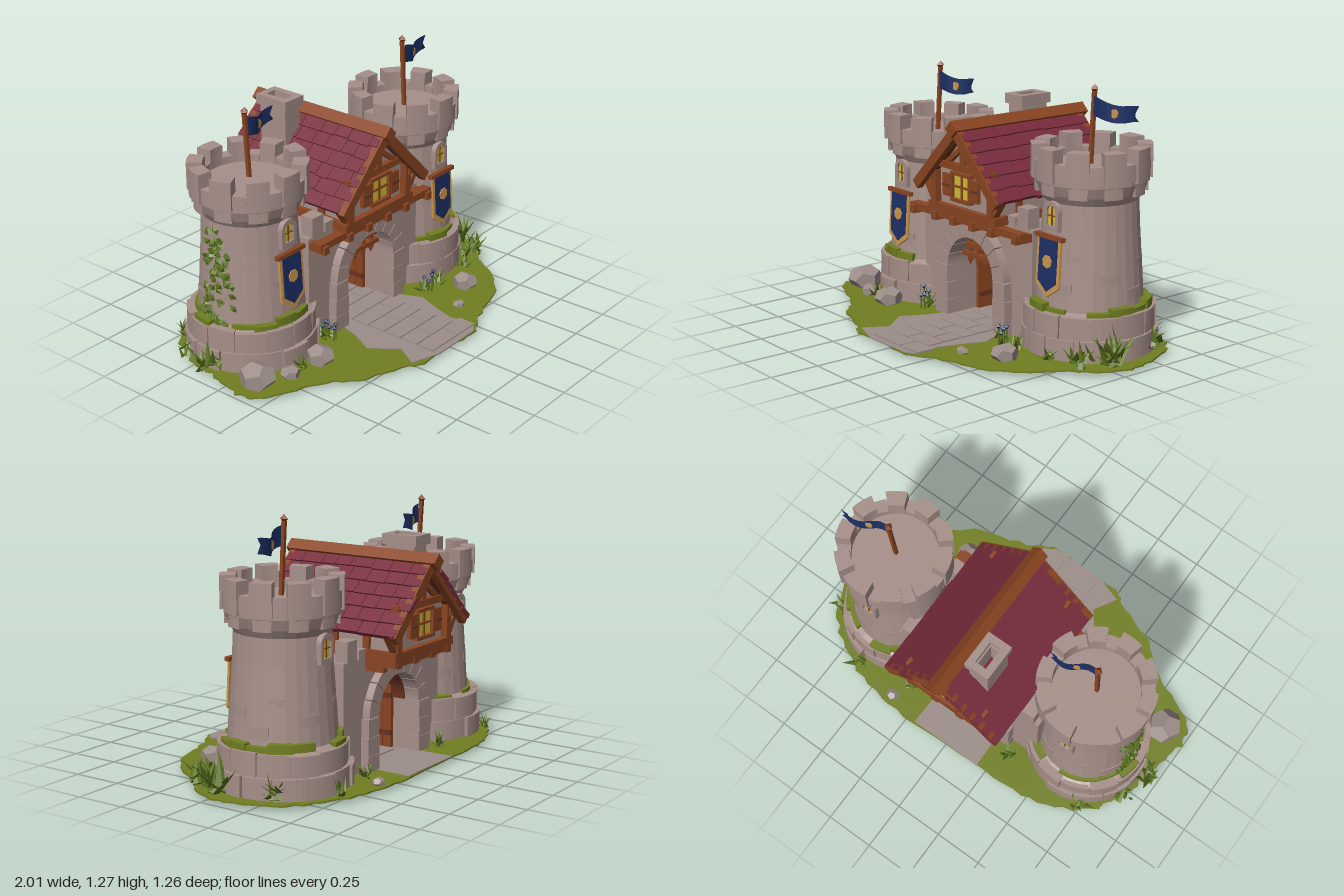
import * as THREE from 'three';
import { mergeGeometries } from 'three/addons/utils/BufferGeometryUtils.js';

const mat = (name, color, side = THREE.FrontSide) => Object.assign(new THREE.MeshStandardMaterial({ color, flatShading: true, side }), { name });
const M = {
  stone: mat('stone', 0xa68f89), rock: mat('pale rock', 0x9c8d88), wood: mat('wood', 0x8a4522), darkWood: mat('dark wood', 0x6a3220),
  roof: mat('roof tile', 0x772b3b), grass: mat('grass', 0x717f20), leaf: mat('leaf', 0x5d7420, THREE.DoubleSide),
  navy: mat('navy cloth', 0x1d2f63, THREE.DoubleSide), gold: mat('gold', 0xc8954f), glow: mat('window yellow', 0xd0be30),
};
const Y = new THREE.Vector3(0, 1, 0);
const V = (x, y, z) => new THREE.Vector3(x, y, z);
let seed = 7;
const rnd = (a = 0, b = 1) => { seed = (seed * 16807) % 2147483647; return a + (b - a) * seed / 2147483647; };

function add(parent, name, geo, m, x = 0, y = 0, z = 0) {
  const mesh = new THREE.Mesh(geo, m);
  mesh.name = name;
  mesh.position.set(x, y, z);
  parent.add(mesh);
  return mesh;
}
const group = (parent, name, x = 0, y = 0, z = 0) => {
  const g = new THREE.Group();
  g.name = name; g.position.set(x, y, z); parent.add(g);
  return g;
};
const box = (p, name, m, w, h, d, x, y, z) => add(p, name, new THREE.BoxGeometry(w, h, d), m, x, y, z);
function beam(p, name, m, a, b, w, d) {
  const dir = b.clone().sub(a);
  const mesh = box(p, name, m, w, dir.length(), d, 0, 0, 0);
  mesh.position.copy(a).add(b).multiplyScalar(0.5);
  mesh.quaternion.setFromUnitVectors(Y, dir.normalize());
  return mesh;
}
const extrude = (shape, depth, curveSegments = 8) => new THREE.ExtrudeGeometry(shape, { depth, bevelEnabled: false, curveSegments });
const poly = (pts) => new THREE.Shape(pts.map((p) => new THREE.Vector2(p[0], p[1])));
function arcShape(r0, r1, a0, a1) {
  const s = new THREE.Shape();
  s.absarc(0, 0, r1, a0, a1, false);
  s.absarc(0, 0, r0, a1, a0, true);
  return s;
}
// Curved block standing on a ring around the y axis
const arcBlock = (r0, r1, y0, y1, a0, a1) => extrude(arcShape(r0, r1, a0, a1), y1 - y0, 3).rotateX(-Math.PI / 2).translate(0, y0, 0);
function archShape(hw, y0, spring) {
  const s = new THREE.Shape();
  s.moveTo(-hw, y0); s.lineTo(hw, y0); s.lineTo(hw, spring);
  s.absarc(0, spring, hw, 0, Math.PI, false);
  s.lineTo(-hw, y0);
  return s;
}

function towerWindow(p, back) {
  const g = group(p, 'towerWindow');
  g.rotation.y = back ? Math.PI : 0;
  const frame = archShape(0.05, 0.6, 0.69);
  frame.holes.push(archShape(0.029, 0.625, 0.69));
  add(g, 'windowFrame', extrude(frame, 0.05), M.stone, 0, 0, 0.2);
  add(g, 'windowGlow', extrude(archShape(0.03, 0.62, 0.69), 0.006), M.glow, 0, 0, 0.233);
  box(g, 'mullion', M.wood, 0.006, 0.1, 0.008, 0, 0.67, 0.24);
  box(g, 'crossbar', M.wood, 0.06, 0.006, 0.008, 0, 0.67, 0.24);
}

function flag(p, y, len) {
  const geo = new THREE.PlaneGeometry(len, 0.095, 10, 2).translate(len / 2, 0, 0);
  const pos = geo.attributes.position;
  for (let i = 0; i < pos.count; i++) {
    const t = pos.getX(i) / len;
    if (t > 0.99 && Math.abs(pos.getY(i)) < 0.01) pos.setX(i, len * 0.86);
    pos.setY(i, pos.getY(i) * (1 - 0.25 * t) + 0.012 * Math.cos(t * 6) - 0.01 * t);
    pos.setZ(i, 0.014 * Math.sin(t * 7));
  }
  const g = group(p, 'flag', 0.008, y, 0);
  g.rotation.y = 0.25;
  add(g, 'flagCloth', geo, M.navy);
  add(g, 'flagEmblem', new THREE.CylinderGeometry(0.022, 0.022, 0.009, 7).rotateX(Math.PI / 2), M.gold, len * 0.45, -0.014, 0);
}

function tower(root, x, grow, poleTop, flagY, flagLen) {
  const t = group(root, 'tower', x, 0, -0.158);
  const top = 0.9 + grow;
  const profile = [[0.3, 0], [0.3, 0.21], [0.258, 0.23], [0.246, 0.4], [0.232, 0.6], [0.226, 0.73], [0.25, 0.77], [0.268, 0.82],
    [0.27, top], [0.215, top], [0.215, top - 0.03], [0, top - 0.03]].map((p) => new THREE.Vector2(...p));
  add(t, 'towerBody', new THREE.LatheGeometry(profile, 28), M.stone);
  // Two courses of heavy base stones
  for (let row = 0; row < 2; row++) for (let i = 0; i < 13; i++) {
    const a = (i + row * 0.5) / 13 * Math.PI * 2, r = rnd(0.312, 0.33) - row * 0.012;
    add(t, 'baseStone', arcBlock(0.25, r, row * 0.115, row ? rnd(0.212, 0.228) : 0.112, a + 0.01, a + 0.47), M.stone);
  }
  // Raised stones on the shaft
  for (let i = 0; i < 26; i++) {
    const a = i * 2.4, y = 0.27 + 0.42 * (i / 26), r = 0.262 - 0.048 * (y + 0.03 - 0.23) / 0.5;
    add(t, 'wallStone', arcBlock(0.2, r, y, y + 0.06, a, a + rnd(0.25, 0.45)), M.stone);
  }
  // Battlements and the corbels below them
  for (let i = 0; i < 10; i++) {
    const a = (i + 0.15) / 10 * Math.PI * 2;
    add(t, 'merlon', arcBlock(0.21, 0.285, 0.83, 0.965 + grow + rnd(0, 0.012), a, a + 0.38), M.stone);
    add(t, 'corbel', arcBlock(0.21, 0.266, 0.765, 0.835, a + 0.02, a + 0.36), M.stone);
    add(t, 'copingStone', arcBlock(0.21, 0.275, 0.84, top + 0.006, a + 0.39, a + 0.62), M.stone);
  }
  // Moss on the ledge
  for (let i = 0; i < 16; i++) {
    const a = i / 16 * Math.PI * 2;
    if (i % 5 !== 3) add(t, 'moss', arcBlock(0.2, rnd(0.27, 0.3), 0.22, rnd(0.238, 0.268), a, a + 0.4), M.grass);
  }
  towerWindow(t, false);
  towerWindow(t, true);
  // Pole and flag
  beam(t, 'flagPole', M.wood, V(0, 0.85, 0.008), V(0, poleTop - 0.03, -0.012), 0.018, 0.018);
  add(t, 'poleTip', new THREE.OctahedronGeometry(0.022), M.wood, 0, poleTop - 0.02, -0.012);
  flag(t, flagY, flagLen);
  // Hanging banner
  const b = group(t, 'banner', 0, 0.43, 0.253);
  b.rotation.x = -0.06;
  const cloth = (k, tip) => poly([[-0.08 * k, 0.14], [-0.08 * k, -0.09 * k], [0, tip], [0.08 * k, -0.09 * k], [0.08 * k, 0.14]]);
  add(b, 'bannerBorder', extrude(cloth(1, -0.145), 0.012), M.gold);
  add(b, 'bannerCloth', extrude(cloth(0.78, -0.118), 0.005), M.navy, 0, 0, 0.011);
  add(b, 'bannerEmblem', new THREE.CylinderGeometry(0.032, 0.032, 0.006, 7).rotateX(Math.PI / 2), M.gold, 0, 0.025, 0.018);
  box(b, 'bannerRod', M.wood, 0.19, 0.02, 0.024, 0, 0.142, 0.008);
  return t;
}

// Timbered gable face, facing +z at local z = 0
function gableFace(p, z, back) {
  const g = group(p, 'gableFace', 0, 0, z);
  g.rotation.y = back ? Math.PI : 0;
  box(g, 'sillBeam', M.wood, 0.52, 0.04, 0.05, 0, 0.58, 0);
  box(g, 'tieBeam', M.wood, 0.46, 0.034, 0.04, 0, 0.8, 0);
  box(g, 'kingPost', M.wood, 0.035, 0.16, 0.035, 0, 0.88, 0);
  for (const s of [-1, 1]) {
    box(g, 'post', M.wood, 0.04, 0.18, 0.05, s * 0.22, 0.67, 0);
    beam(g, 'gableBrace', M.wood, V(s * 0.13, 0.81, 0), V(s * 0.01, 0.9, 0), 0.024, 0.03);
    beam(g, 'eaveBrace', M.wood, V(s * 0.23, 0.61, 0), V(s * 0.295, 0.7, 0), 0.03, 0.035);
    beam(g, 'bargeBoard', M.wood, V(s * 0.315, 0.675, 0.05), V(0, 0.99, 0.05), 0.05, 0.035);
    box(g, 'shutter', M.wood, 0.06, 0.11, 0.02, s * 0.108, 0.705, 0.02);
    box(g, 'shutterBatten', M.darkWood, 0.05, 0.012, 0.008, s * 0.108, 0.705, 0.032);
    box(g, 'windowJamb', M.wood, 0.014, 0.14, 0.03, s * 0.07, 0.705, 0.015);
    box(g, 'windowRail', M.wood, 0.15, 0.016, 0.034, 0, 0.705 + s * 0.066, 0.015);
  }
  box(g, 'windowGlow', M.glow, 0.13, 0.12, 0.008, 0, 0.705, 0.008);
  box(g, 'mullion', M.wood, 0.01, 0.12, 0.009, 0, 0.705, 0.016);
  box(g, 'crossbar', M.wood, 0.13, 0.01, 0.009, 0, 0.705, 0.016);
}

function gatehouse(root) {
  const g = group(root, 'gatehouse');
  // Arched wall
  const s = poly([[-0.42, 0], [-0.18, 0], [-0.18, 0.27]]);
  s.absarc(0, 0.27, 0.18, Math.PI, 0, true);
  s.lineTo(0.18, 0); s.lineTo(0.42, 0); s.lineTo(0.42, 0.56); s.lineTo(-0.42, 0.56);
  add(g, 'gateWall', extrude(s, 0.44, 14), M.stone, 0, 0, -0.38);
  for (const z of [0.02, -0.42]) {
    for (let i = 0; i < 9; i++) {
      const a = i / 9 * Math.PI;
      add(g, 'archStone', extrude(arcShape(0.176, rnd(0.25, 0.265), a + 0.01, a + 0.34), 0.085, 3), M.stone, 0, 0.27, z);
    }
    for (const k of [-1, 1]) for (let i = 0; i < 3; i++)
      box(g, 'jambStone', M.stone, rnd(0.085, 0.1), 0.088, 0.09, k * 0.225, 0.045 + i * 0.09, z + 0.042);
  }
  // Parapet merlons beside the house
  for (const k of [-1, 1]) for (const z of [0.03, -0.35]) {
    box(g, 'wallMerlon', M.stone, 0.08, 0.1, 0.07, k * 0.355, 0.61, z);
    box(g, 'wallMerlon', M.stone, 0.06, 0.05, 0.07, k * 0.27, 0.58, z);
  }
  // Timber lining, open doors and portcullis
  add(g, 'archLining', extrude(arcShape(0.168, 0.182, 0, Math.PI), 0.2, 14), M.darkWood, 0, 0.27, -0.34);
  for (const k of [-1, 1]) {
    for (let i = 0; i < 4; i++) box(g, 'doorPlank', M.wood, 0.022, 0.33, 0.046, k * 0.165, 0.18, -0.1 - i * 0.05);
    for (const y of [0.09, 0.28]) box(g, 'doorBatten', M.darkWood, 0.012, 0.025, 0.2, k * 0.15, y, -0.175);
  }
  for (let i = -2; i <= 2; i++) {
    box(g, 'portcullisBar', M.wood, 0.02, 0.14, 0.02, i * 0.062, 0.36, 0);
    add(g, 'portcullisSpike', new THREE.ConeGeometry(0.018, 0.035, 4).rotateX(Math.PI), M.wood, i * 0.062, 0.282, 0);
  }
  for (const y of [0.325, 0.375]) box(g, 'portcullisRail', M.wood, 0.34, 0.024, 0.026, 0, y, 0.006);
  // Jetty beams and brackets
  box(g, 'frontBeam', M.wood, 0.86, 0.035, 0.05, 0, 0.54, 0.12);
  box(g, 'backBeam', M.wood, 0.5, 0.035, 0.05, 0, 0.55, -0.53);
  box(g, 'jettyFloor', M.wood, 0.5, 0.02, 0.72, 0, 0.568, -0.2);
  for (const x of [-0.4, -0.22, -0.075, 0.075, 0.22, 0.4]) {
    box(g, 'frontJoist', M.wood, 0.035, 0.04, 0.12, x, 0.525, 0.1);
    if (Math.abs(x) < 0.3) {
      box(g, 'backJoist', M.wood, 0.04, 0.04, 0.2, x, 0.545, -0.46);
      box(g, 'backBracket', M.wood, 0.036, 0.035, 0.1, x, 0.515, -0.43);
    }
  }
  // Upper house
  add(g, 'houseWall', extrude(poly([[-0.22, 0.56], [0.22, 0.56], [0.22, 0.755], [0, 0.97], [-0.22, 0.755]]), 0.65), M.stone, 0, 0, -0.525);
  gableFace(g, 0.135, false);
  gableFace(g, -0.535, true);
  for (const k of [-1, 1]) {
    box(g, 'sideSill', M.wood, 0.04, 0.04, 0.69, k * 0.225, 0.58, -0.2);
    box(g, 'wallPlate', M.wood, 0.04, 0.035, 0.74, k * 0.235, 0.725, -0.2);
    for (const z of [-0.38, -0.2, -0.02]) box(g, 'sidePost', M.wood, 0.03, 0.16, 0.035, k * 0.222, 0.65, z);
    // Roof slope: boarding with staggered rows of tiles
    const r = group(g, 'roofSlope', 0, 1.0, -0.205);
    r.rotation.z = -k * Math.PI / 4;
    box(r, 'roofBoards', M.darkWood, 0.43, 0.02, 0.76, k * 0.215, -0.012, 0);
    for (let row = 0; row < 6; row++) {
      let z = -0.4 + rnd(-0.01, 0.01);
      while (z < 0.37) {
        const w = Math.min(rnd(0.075, 0.13), 0.4 - z);
        const tile = box(r, 'roofTile', M.roof, 0.088, 0.02, w - 0.003, k * (0.045 + row * 0.072 + rnd(-0.004, 0.004)), 0.008, z + w / 2);
        tile.rotation.z = k * 0.11;
        z += w;
      }
    }
  }
  const ridge = box(g, 'ridgeBeam', M.wood, 0.06, 0.06, 0.85, 0, 1.0, -0.205);
  ridge.rotation.z = Math.PI / 4;
  // Chimney with an open cap
  const chim = (w, d, t, h) => {
    const o = poly([[-w, -d], [w, -d], [w, d], [-w, d]]);
    o.holes.push(poly([[-w + t, -d + t], [-w + t, d - t], [w - t, d - t], [w - t, -d + t]]));
    return extrude(o, h).rotateX(-Math.PI / 2);
  };
  add(g, 'chimney', chim(0.052, 0.08, 0.03, 0.25), M.stone, -0.125, 0.82, -0.37);
  add(g, 'chimneyCap', chim(0.066, 0.095, 0.036, 0.05), M.stone, -0.125, 1.05, -0.37);
}

// Fan of pointed leaves
function bush(root, name, x, z, n, h, spread) {
  const leaves = [];
  for (let i = 0; i < n; i++) {
    const l = h * rnd(0.7, 1.15);
    leaves.push(new THREE.ConeGeometry(l * 0.2, l, 4).scale(1, 1, 0.3).translate(0, l / 2, 0).rotateX(rnd(0.2, 1.1))
      .rotateY(i * 2.4).translate(rnd(-spread, spread), rnd(0, spread), rnd(-spread, spread)));
  }
  add(root, name, mergeGeometries(leaves), M.leaf, x, 0.012, z);
}

export function createModel() {
  const root = new THREE.Group();
  root.name = 'castleGate';
  // Ragged island of grass
  const outline = [[-1, 0.08], [-0.98, 0.2], [-0.85, 0.28], [-0.68, 0.36], [-0.52, 0.49], [-0.3, 0.57], [-0.26, 0.61], [0, 0.62], [0.2, 0.62], [0.3, 0.56],
    [0.55, 0.48], [0.72, 0.36], [0.82, 0.2], [0.95, 0.06], [0.99, -0.08], [0.95, -0.28], [0.82, -0.45], [0.6, -0.56], [0.35, -0.61], [0, -0.6],
    [-0.38, -0.61], [-0.62, -0.56], [-0.82, -0.44], [-0.92, -0.25], [-0.95, -0.08]];
  const curve = new THREE.CatmullRomCurve3(outline.map((p) => V(p[0], -p[1], 0)), true);
  const rim = curve.getPoints(130).slice(0, -1).map((p) => { const k = rnd(0.975, 1.005); return [p.x * k, p.y * k]; });
  add(root, 'grassIsland', extrude(poly(rim), 0.008).rotateX(-Math.PI / 2), M.grass, 0, 0.003, 0);
  box(root, 'pathBedding', M.darkWood, 0.3, 0.004, 0.74, 0.02, 0.002, 0.06);
  // Worn path and paving slabs
  const path = poly([[-0.2, 0.6], [0.2, 0.6], [0.18, 0], [0.28, -0.22], [0.24, -0.32], [0.2, -0.45], [0.22, -0.58], [0.16, -0.62], [-0.12, -0.62],
    [-0.27, -0.57], [-0.2, -0.45], [-0.3, -0.32], [-0.24, -0.2], [-0.18, 0]]);
  add(root, 'path', extrude(path, 0.006).rotateX(-Math.PI / 2), M.rock, 0, 0.008, 0);
  for (let row = 0; row < 9; row++) {
    const z = 0.54 - row * 0.1, split = row % 2 ? 0.0 : 0.08, l = -0.13, r = row ? 0.17 : 0.22;
    box(root, 'pavingSlab', M.rock, split - l - 0.006, 0.012, 0.094, (l + split) / 2, 0.014, z);
    box(root, 'pavingSlab', M.rock, r - split - 0.006, 0.012, 0.094, (r + split) / 2, 0.0135, z);
  }
  const leftTower = tower(root, -0.588, 0, 1.225, 1.12, 0.23);
  tower(root, 0.585, 0.015, 1.255, 1.145, 0.25);
  gatehouse(root);
  // Climbing vine on the outer wall
  const vine = [];
  for (let i = 0; i < 60; i++) {
    const y = rnd(0.2, 0.7), a = Math.PI + rnd(-0.5, 0.5) * (1.2 - y), r = 0.275 - 0.07 * y;
    vine.push(new THREE.OctahedronGeometry(0.03).scale(0.5, 1, 0.8).rotateX(rnd(-1, 1)).rotateZ(rnd(-0.8, 0.8))
      .translate(Math.cos(a) * r, y, -Math.sin(a) * r));
  }
  add(leftTower, 'vine', mergeGeometries(vine), M.leaf);
  // Rocks
  for (const [x, z, r] of [[-0.87, 0.13, 0.095], [-0.53, 0.22, 0.075], [-0.72, 0.2, 0.05], [0.52, 0.31, 0.068], [0.33, 0.41, 0.032], [0.38, -0.55, 0.035]]) {
    const m = add(root, 'rock', new THREE.DodecahedronGeometry(r).scale(1, 0.75, 0.95), M.rock, x, r * 0.55, z);
    m.rotation.y = x * 9;
  }
  // Bushes, grass tufts and blue flowers
  for (const [x, z, n, h] of [[-0.92, -0.12, 16, 0.13], [-0.9, -0.3, 10, 0.09], [0.9, -0.02, 22, 0.15], [0.83, 0.12, 14, 0.11], [0.88, -0.3, 12, 0.1]])
    bush(root, 'bush', x, z, n, h, 0.045);
  for (const [x, z] of [[-0.35, 0.1], [-0.65, 0.2], [0.34, 0.18], [0.45, 0.2], [0.68, 0.19], [-0.3, -0.45], [0.32, -0.45], [0.62, -0.51], [-0.75, -0.47]])
    bush(root, 'grassTuft', x, z, 9, 0.07, 0.025);
  for (const [x, z] of [[-0.36, 0.12], [0.37, 0.19]]) for (let i = 0; i < 6; i++) {
    const fx = x + rnd(-0.04, 0.04), fz = z + rnd(-0.03, 0.03), h = rnd(0.06, 0.12);
    box(root, 'flowerStem', M.leaf, 0.005, h, 0.005, fx, h / 2, fz);
    add(root, 'flower', new THREE.OctahedronGeometry(0.014), M.navy, fx, h, fz);
  }
  return root;
}
